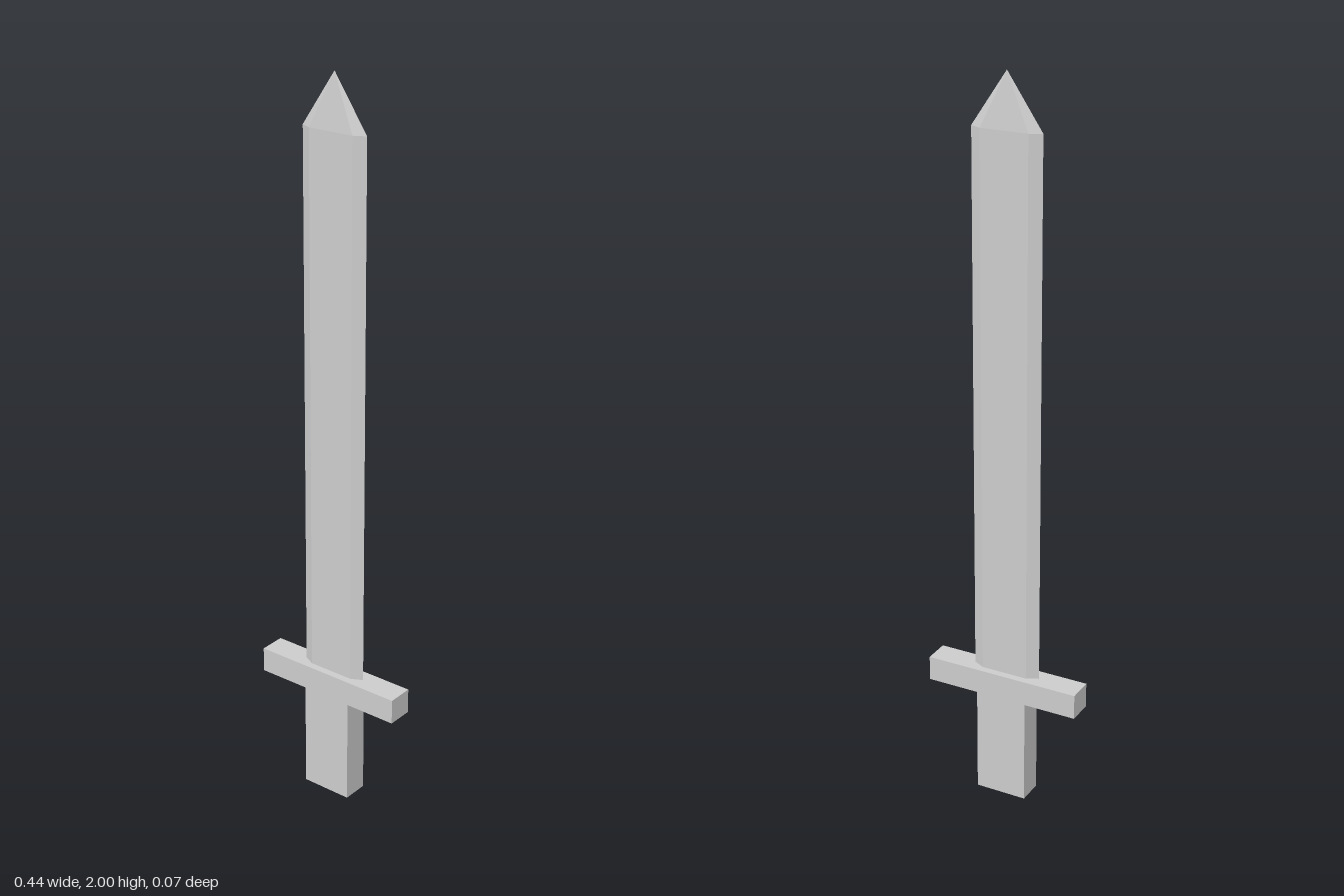
import * as THREE from 'three';

const material = new THREE.MeshStandardMaterial({ color: 0xcccccc, flatShading: true });

function box(name, width, depth, y0, y1) {
  const mesh = new THREE.Mesh(new THREE.BoxGeometry(width, y1 - y0, depth), material);
  mesh.name = name;
  mesh.position.y = (y0 + y1) / 2;
  return mesh;
}

// Flattened six-sided blade: straight walls, then facets meeting at the point
function bladeGeometry(yBase, yShoulder, yTip) {
  const edge = 0.098, flat = 0.066, thick = 0.016;
  const section = [
    [edge, 0], [flat, -thick], [-flat, -thick],
    [-edge, 0], [-flat, thick], [flat, thick],
  ];
  const positions = [];
  section.forEach(([ax, az], i) => {
    const [bx, bz] = section[(i + 1) % section.length];
    const a0 = [ax, yBase, az], b0 = [bx, yBase, bz];
    const a1 = [ax, yShoulder, az], b1 = [bx, yShoulder, bz];
    positions.push(...a0, ...b0, ...b1, ...a0, ...b1, ...a1); // wall
    positions.push(...a1, ...b1, 0, yTip, 0); // tip facet
    positions.push(...b0, ...a0, 0, yBase, 0); // base cap
  });
  const geometry = new THREE.BufferGeometry();
  geometry.setAttribute('position', new THREE.Float32BufferAttribute(positions, 3));
  geometry.computeVertexNormals();
  return geometry;
}

export function createModel() {
  const sword = new THREE.Group();
  sword.name = 'sword';

  const blade = new THREE.Mesh(bladeGeometry(0.37, 1.857, 2), material);
  blade.name = 'blade';

  sword.add(
    box('grip', 0.146, 0.073, 0, 0.3),
    box('crossguard', 0.444, 0.073, 0.3, 0.37),
    blade,
  );
  return sword;
}
